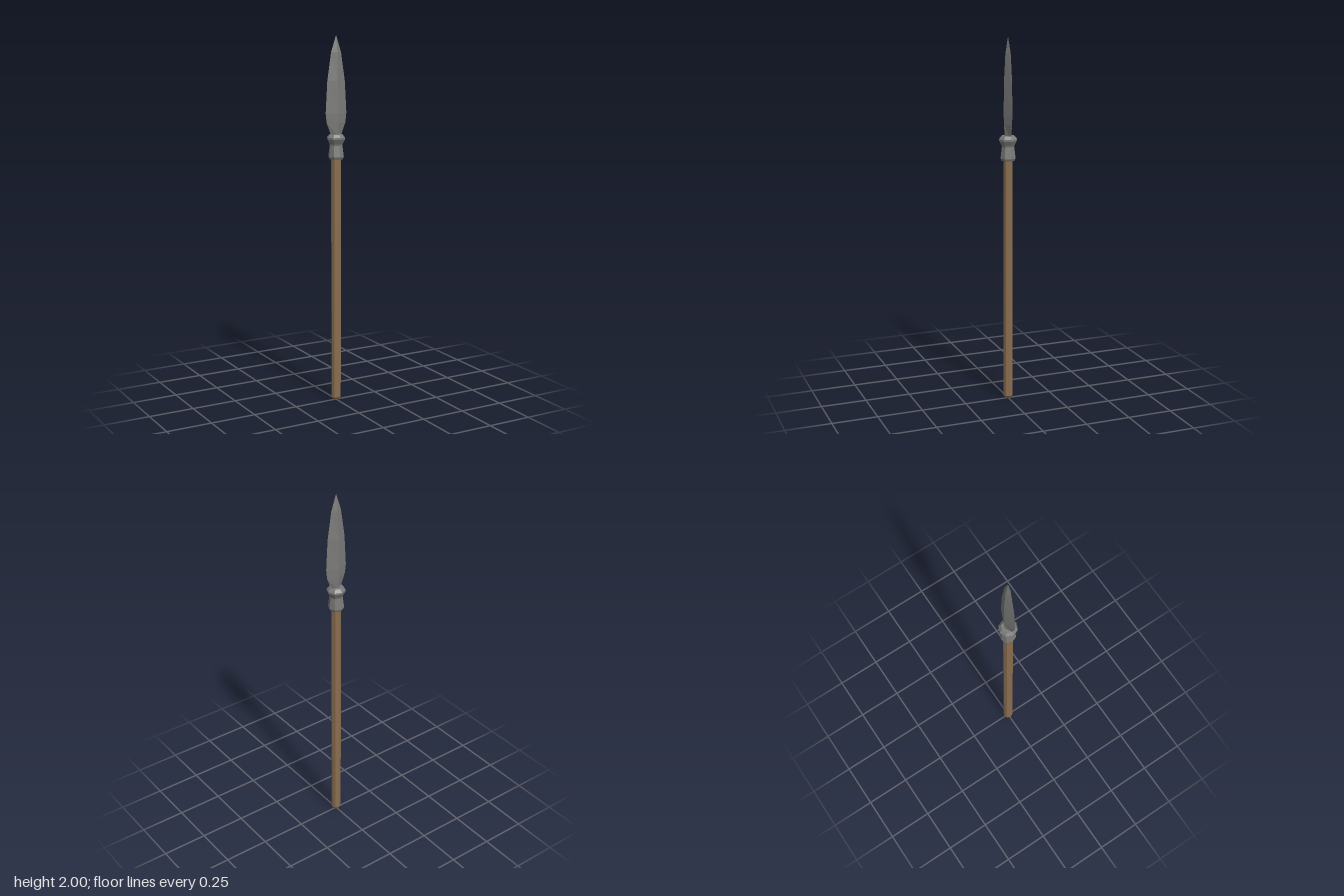
import * as THREE from 'three';

// Turn a [radius, y] profile around the y axis
function turn(profile, sides) {
  return new THREE.LatheGeometry(profile.map(([r, y]) => new THREE.Vector2(r, y)), sides);
}

// Give every facet its own normal for a low-poly look
function faceted(geometry) {
  const flat = geometry.toNonIndexed();
  flat.computeVertexNormals();
  return flat;
}

export function createModel() {
  const wood = new THREE.MeshStandardMaterial({ color: 0x8a6e50 });
  wood.name = 'wood';
  const metal = new THREE.MeshStandardMaterial({ color: 0x7a7a78 });
  metal.name = 'metal';

  const group = new THREE.Group();
  group.name = 'spear';
  const add = (name, geometry, material) => {
    const mesh = new THREE.Mesh(faceted(geometry), material);
    mesh.name = name;
    group.add(mesh);
  };

  // Eight-sided shaft with a chamfered butt
  add('shaft', turn([[0, 0], [0.016, 0.004], [0.027, 0.018], [0.027, 1.38]], 8), wood);

  // Socket flaring towards the shaft, with a raised ring above it
  add('socket', turn([
    [0, 1.345], [0.037, 1.345], [0.043, 1.358], [0.035, 1.42], [0.037, 1.428],
    [0.05, 1.452], [0.05, 1.462], [0.036, 1.478], [0, 1.478],
  ], 8), metal);

  // Leaf blade: rows of half width, height, half thickness
  const rows = [
    [0, 1.465, 0], [0.03, 1.47, 0.019], [0.057, 1.54, 0.023], [0.063, 1.59, 0.025],
    [0.053, 1.76, 0.023], [0.03, 1.91, 0.015], [0, 2, 0],
  ];
  const blade = turn(rows, 4);
  const position = blade.attributes.position;
  for (let i = 0; i < position.count; i++) {
    const [width, , thickness] = rows[i % rows.length];
    if (width > 0) position.setZ(i, position.getZ(i) * thickness / width);
  }
  add('blade', blade, metal);

  return group;
}
